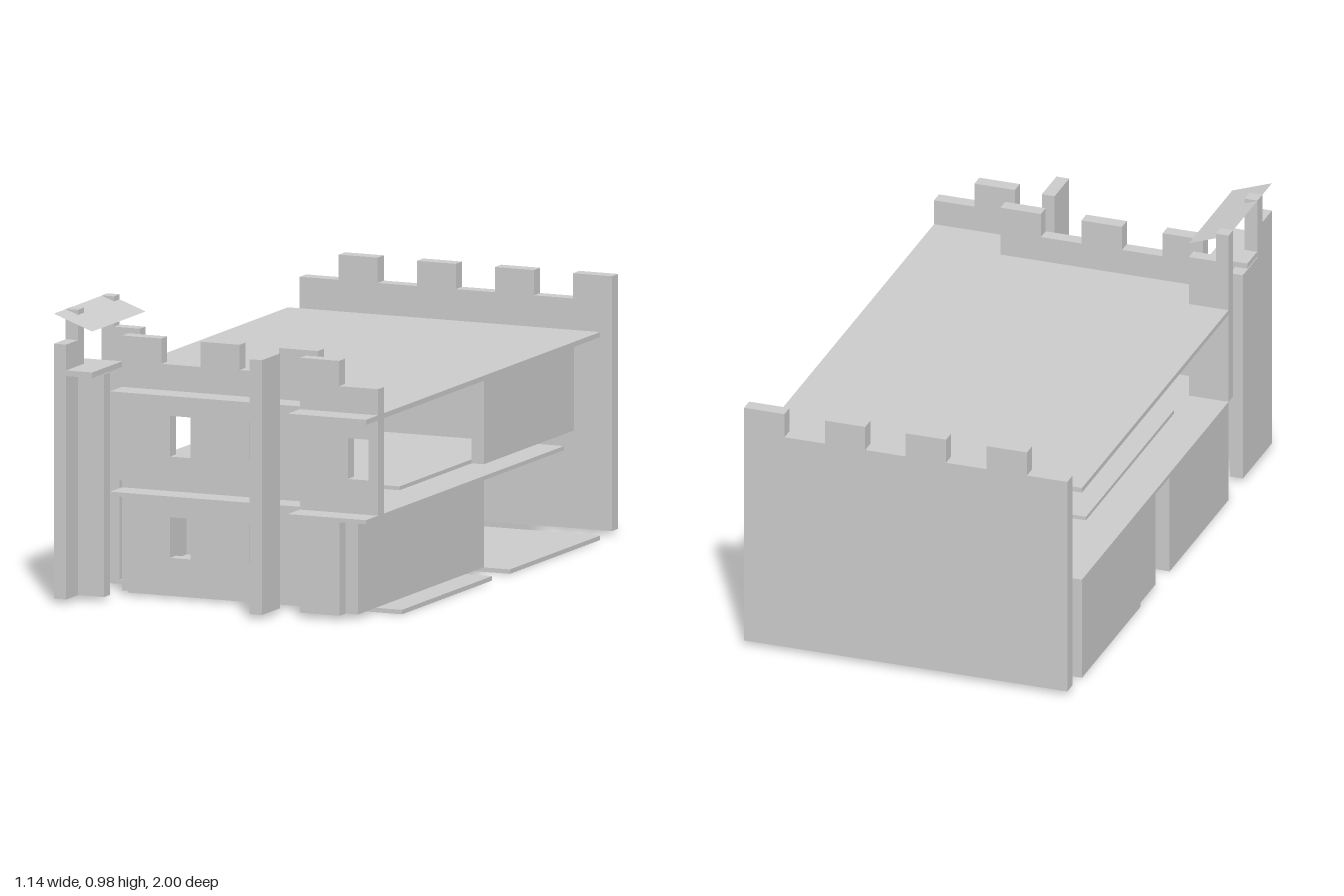
import * as THREE from 'three';

export function createModel() {
  const group = new THREE.Group();
  const mat = new THREE.MeshStandardMaterial({ color: 0xcccccc, flatShading: true });
  const thin = new THREE.MeshStandardMaterial({ color: 0xcccccc, flatShading: true, side: THREE.DoubleSide });

  const add = (name, geo, m = mat) => {
    const mesh = new THREE.Mesh(geo, m);
    mesh.name = name;
    group.add(mesh);
    return mesh;
  };
  // Box given by its limits on each axis
  const box = (name, x0, x1, y0, y1, z0, z1) =>
    add(name, new THREE.BoxGeometry(x1 - x0, y1 - y0, z1 - z0))
      .position.set((x0 + x1) / 2, (y0 + y1) / 2, (z0 + z1) / 2);
  const outline = (pts) => new THREE.Shape(pts.map(([a, b]) => new THREE.Vector2(a, b)));
  // Horizontal slab from an x/z plan
  const slab = (name, y0, y1, plan) => {
    const geo = new THREE.ExtrudeGeometry(outline(plan), { depth: y1 - y0, bevelEnabled: false });
    geo.rotateX(Math.PI / 2);
    geo.translate(0, y1, 0);
    add(name, geo);
  };
  // Upright wall facing z, with optional battlements and windows
  const wall = (name, x0, x1, y0, y1, z0, z1, { merlons = 0, firstUp = true, windows = [] } = {}) => {
    const pts = [[x0, y0], [x1, y0]];
    if (merlons) {
      const w = (x1 - x0) / merlons;
      for (let i = merlons - 1; i >= 0; i--) {
        const top = (i % 2 === 0) === firstUp ? y1 : y1 - 0.085;
        pts.push([x0 + (i + 1) * w, top], [x0 + i * w, top]);
      }
    } else pts.push([x1, y1], [x0, y1]);
    const s = outline(pts);
    for (const [a, b] of windows) {
      s.holes.push(outline([[a, b], [a, b + 0.137], [a + 0.075, b + 0.137], [a + 0.075, b]]));
    }
    const geo = new THREE.ExtrudeGeometry(s, { depth: z1 - z0, bevelEnabled: false });
    geo.translate(0, 0, z0);
    add(name, geo);
  };

  const W = 0.57, T = 0.045;

  // Ground slabs, with a tower notch in front and a stair opening behind
  slab('frontGroundSlab', 0, 0.015, [[-W, 0], [W, 0], [W, 0.715], [-0.43, 0.715], [-0.43, 0.575], [-W, 0.575]]);
  slab('rearGroundSlab', 0, 0.015, [
    [-W, -0.857], [-0.14, -0.857], [-0.14, -0.57], [0.14, -0.57], [0.14, -0.857], [W, -0.857],
    [W, -0.14], [0.14, -0.14], [0.14, -0.285], [-W, -0.285],
  ]);

  // First floor and roof share the stepped front edge
  const front = [[W, 1], [0.285, 1], [0.285, 0.857], [-0.43, 0.857], [-0.43, 0.575], [-W, 0.575]];
  slab('firstFloor', 0.348, 0.362, [[-W, -0.857], [-0.43, -0.857], [-0.43, -0.57], [W, -0.57], ...front]);
  slab('roofSlab', 0.683, 0.7, [[-W, -0.857], [W, -0.857], ...front]);
  box('raisedFloorPanel', -0.43, 0.43, 0.362, 0.375, -0.43, 0.43);

  // Back curtain wall
  wall('backWall', -W, W, 0.015, 0.873, -1, -0.95, { merlons: 8, firstUp: false });

  // Front wall in two storeys
  wall('lowerFrontWall', -0.43, 0.285, 0.015, 0.348, 0.715, 0.762, { windows: [[-0.255, 0.137], [0.033, 0.137]] });
  wall('upperFrontWall', -0.43, 0.285, 0.362, 0.873, 0.715, 0.762,
    { merlons: 5, windows: [[-0.255, 0.478], [0.033, 0.478]] });

  // Left front tower and gate pillar
  wall('lowerLeftTowerWall', 0.285, 0.43, 0.015, 0.348, 0.857, 0.905);
  wall('upperLeftTowerWall', 0.285, W, 0.362, 0.873, 0.857, 0.905, { merlons: 2, windows: [[0.46, 0.478]] });
  box('gatePillar', 0.145, 0.145 + T, 0.015, 0.873, 0.857, 1);

  // Side and inner walls
  box('lowerLeftSideWall', 0.43, 0.475, 0.015, 0.348, -0.14, 0.857);
  box('upperLeftSideWall', 0.43, 0.475, 0.362, 0.683, -0.857, -0.14);
  box('rightRearSideWall', -W, -W + T, 0.015, 0.348, -0.857, -0.14);
  box('rightFrontSideWall', -W, -W + T, 0.015, 0.348, 0, 0.575);
  box('crossWall', -W + T, -0.14, 0.015, 0.348, 0, T);

  // Stairs rising towards the right side
  const steps = 20, rise = 0.333 / steps, run = 0.57 / steps;
  for (let i = 0; i < steps; i++) {
    const x = 0.14 - i * run;
    box('stairStep', x - run, x, 0.015 + Math.max(0, i - 1) * rise, 0.015 + (i + 1) * rise, -0.857, -0.57);
  }

  // Right front watchtower
  box('towerFrontWall', -W + T, -0.43, 0.015, 0.765, 0.857, 0.905);
  box('towerSideWall', -W, -W + T, 0.015, 0.765, 0.715, 0.905);
  box('towerCornerPillar', -W, -W + T, 0.015, 0.873, 0.905, 1);
  box('towerRearWall', -W, -0.43, 0.362, 0.873, 0.575, 0.62);
  box('towerPlatform', -W + 0.001, -0.43, 0.767, 0.786, 0.762, 0.999);
  box('towerFrontPost', -W, -W + T, 0.765, 0.975, 0.857, 0.905);
  box('towerRearPost', -W, -W + T, 0.873, 0.975, 0.575, 0.62);

  // Sloping sheet over the watchtower
  const canopy = add('towerCanopy', new THREE.PlaneGeometry(Math.hypot(0.14, 0.05), 0.425).rotateX(-Math.PI / 2), thin);
  canopy.rotation.z = -Math.atan2(0.05, 0.14);
  canopy.position.set(-0.5, 0.949, 0.7875);

  return group;
}
